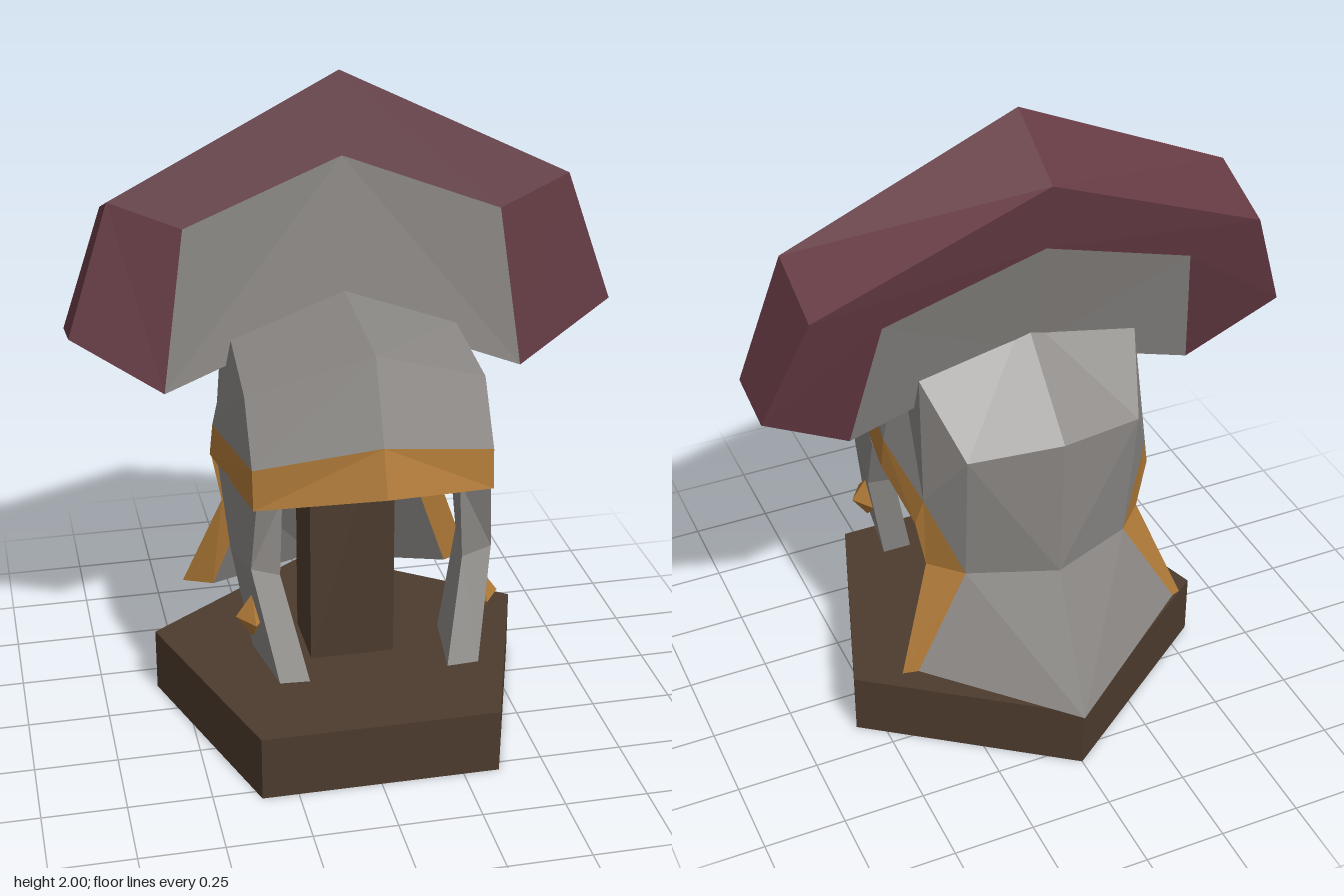
import * as THREE from 'three';

const mat = (color) => new THREE.MeshStandardMaterial({ color, flatShading: true });
const steel = mat(0x8a8784), gold = mat(0xb07a38), maroon = mat(0x653a43), wood = mat(0x4d3b2e);

// Flat-sided mesh from polygons on the +x half, mirrored to -x
function mirrored(name, polygons, material) {
  const pos = [];
  const flip = ([x, y, z]) => [-x, y, z];
  for (const p of polygons)
    for (let i = 1; i < p.length - 1; i++) {
      pos.push(...p[0], ...p[i], ...p[i + 1]);
      pos.push(...flip(p[0]), ...flip(p[i + 1]), ...flip(p[i]));
    }
  const g = new THREE.BufferGeometry();
  g.setAttribute('position', new THREE.Float32BufferAttribute(pos, 3));
  g.computeVertexNormals();
  const mesh = new THREE.Mesh(g, material);
  mesh.name = name;
  return mesh;
}

// Quads between an upper and a lower row of points
const strip = (u, l) => u.slice(1).map((_, i) => [u[i], l[i], l[i + 1], u[i + 1]]);

function helmet() {
  const group = new THREE.Group();
  group.name = 'helmet';
  // Rows run from the front centre around to the back
  const R = [[0, 1.32, 0.42], [0, 1.36, 0], [0, 1.37, -0.12], [0, 1.09, -0.4]];
  const S = [[0.35, 1.18, 0.3], [0.34, 1.235, 0], [0.34, 1.25, -0.15], [0.27, 1.06, -0.33]];
  const B = [[0, 1.09, 0.53], [0.35, 1, 0.41], [0.4, 0.965, 0], [0.36, 0.87, -0.21], [0.26, 0.62, -0.28], [0.43, 0.32, -0.31]];
  const D = [[0, 0.955, 0.58], [0.35, 0.88, 0.42], [0.41, 0.87, 0], [0.38, 0.78, -0.19], [0.35, 0.62, -0.19], [0.47, 0.3, -0.28]];
  const E = [[0, 0.89, 0.44], [0.26, 0.86, 0.36], [0.3, 0.87, 0], [0.28, 0.79, -0.15], [0.27, 0.62, -0.17], [0.38, 0.31, -0.22]];
  const neck = [0, 0.62, -0.38], tip = [0, 0.19, -0.575];
  // Inner wall
  const IR = [[0, 1.2, 0.3], [0, 1.24, -0.1], [0, 1.02, -0.3]];
  const IS = [[0.26, 1.1, 0.25], [0.27, 1.13, -0.1], [0.2, 1, -0.24]];
  const inNeck = [0, 0.62, -0.28], inTip = [0, 0.22, -0.52];

  group.add(mirrored('dome', [
    ...strip(R, S),
    [R[0], B[0], B[1], S[0]],
    ...strip(S.slice(0, 3), B.slice(1, 4)),
    [S[2], B[3], S[3]], [S[3], B[3], B[4]],
    [S[3], B[4], neck, R[3]],
  ], steel));
  group.add(mirrored('neckGuard', [
    [B[4], B[5], tip, neck],
    [E[4], inNeck, inTip, E[5]],
    [E[5], inTip, tip, B[5], D[5]],
  ], steel));
  group.add(mirrored('goldTrim', [...strip(B, D), ...strip(D, E)], gold));
  group.add(mirrored('lining', [
    [E[0], IR[0], IS[0], E[1]],
    [E[1], IS[0], IS[1], E[2]], [E[2], IS[1], IS[2], E[3]],
    [E[3], IS[2], E[4]], [E[4], IS[2], IR[2], inNeck],
    ...strip(IS, IR),
  ], maroon));
  return group;
}

function cheekGuards() {
  const group = new THREE.Group();
  group.name = 'cheekGuards';
  // Sections: front inner, front outer, rear outer, rear inner
  const rows = [
    [[0.26, 0.89, 0.38], [0.34, 0.9, 0.42], [0.4, 0.88, 0.1], [0.3, 0.88, 0.1]],
    [[0.27, 0.65, 0.385], [0.355, 0.68, 0.39], [0.385, 0.66, 0.2], [0.3, 0.65, 0.2]],
    [[0.205, 0.35, 0.49], [0.295, 0.36, 0.5], [0.33, 0.34, 0.235], [0.24, 0.34, 0.235]],
  ];
  const loop = (r) => [...r, r[0]];
  group.add(mirrored('cheekPlates', [
    ...strip(loop(rows[0]), loop(rows[1])),
    ...strip(loop(rows[1]), loop(rows[2])),
    [...rows[2]].reverse(),
  ], steel));
  for (const s of [1, -1]) {
    const stud = new THREE.Mesh(new THREE.OctahedronGeometry(0.07), gold);
    stud.name = s > 0 ? 'leftStud' : 'rightStud';
    stud.scale.x = 0.7;
    stud.position.set(s * 0.345, 0.5, 0.335);
    group.add(stud);
  }
  return group;
}

function crest() {
  const group = new THREE.Group();
  group.name = 'crest';
  // Each point: x, y, front z, back z
  const outer = [[0, 2, -0.07, -0.295], [0.68, 1.67, -0.015, -0.245], [0.81, 1.28, 0.02, -0.165], [0.54, 1.085, 0.02, -0.11]];
  const inner = [[0, 1.76, -0.03, -0.26], [0.47, 1.58, 0, -0.225], outer[3]];
  const foot = [0, 1.3, 0.01, -0.14];
  const f = ([x, y, z]) => [x, y, z];
  const b = ([x, y, , z]) => [x, y - 0.13 * (y - 1), z];
  const bothSides = (polys) => polys.flatMap((p) => [p.map(f), p.map(b).reverse()]);
  const edge = (p) => strip(p.map(f), p.map(b)).map((q) => q.reverse());

  group.add(mirrored('plume', [
    ...bothSides([[outer[0], inner[0], inner[1], outer[1]], [outer[1], inner[1], outer[3], outer[2]]]),
    ...edge(outer),
  ], maroon));
  group.add(mirrored('crestPlate', [
    ...bothSides([[inner[0], foot, inner[2], inner[1]]]),
    ...edge([inner[2], foot]),
  ], steel));
  return group;
}

function stand() {
  const group = new THREE.Group();
  group.name = 'stand';
  // Five-sided foot with its point at the back
  const foot = new THREE.Mesh(new THREE.CylinderGeometry(0.61, 0.61, 0.2, 5), wood);
  foot.name = 'base';
  foot.rotation.y = Math.PI;
  foot.position.set(0, 0.1, 0.045);
  const post = new THREE.Mesh(new THREE.BoxGeometry(0.26, 0.95, 0.225), wood);
  post.name = 'post';
  post.position.set(0, 0.665, 0.008);
  group.add(foot, post);
  return group;
}

export function createModel() {
  const model = new THREE.Group();
  model.name = 'crestedHelmetOnStand';
  model.add(stand(), helmet(), cheekGuards(), crest());
  return model;
}
